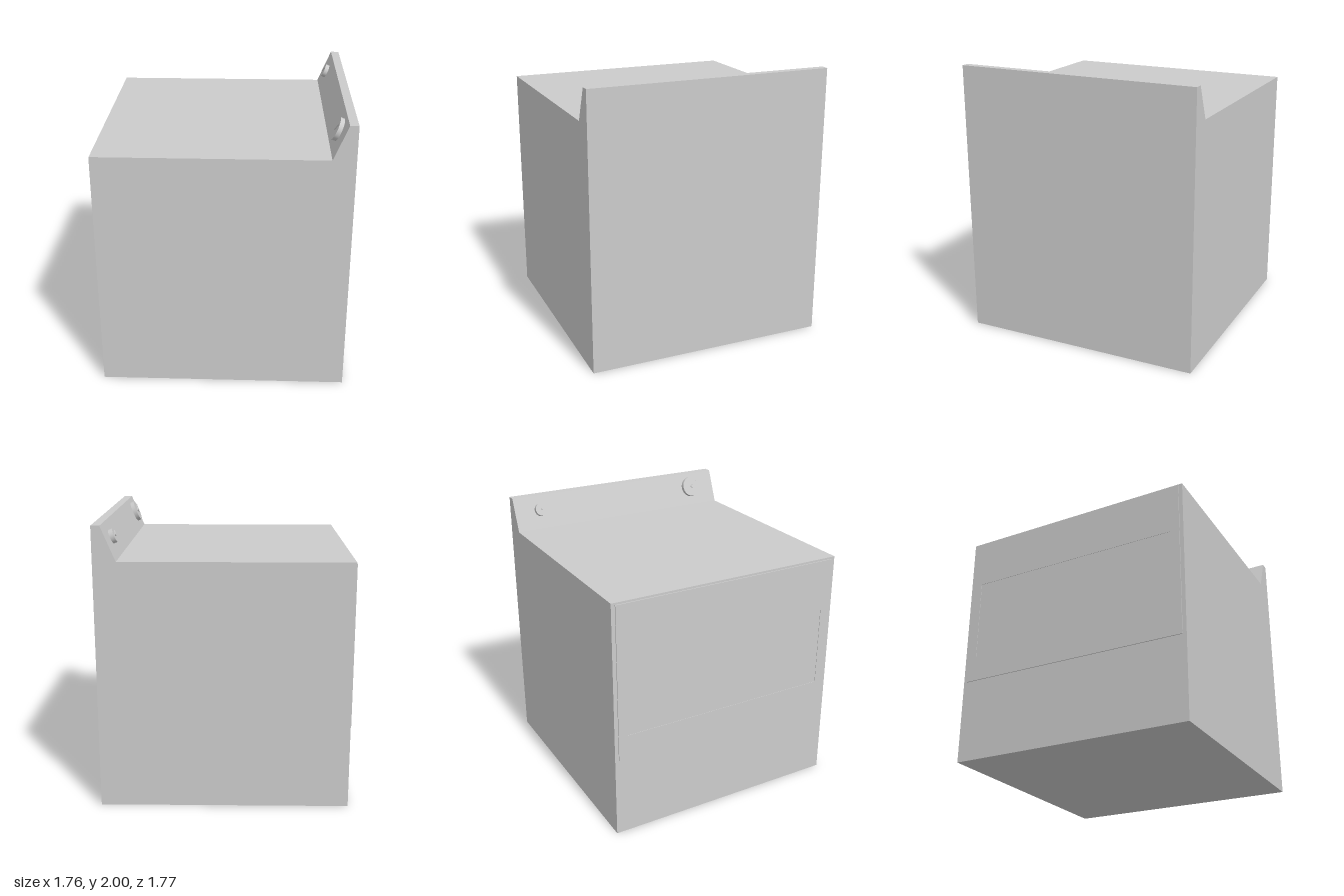
import * as THREE from 'three';

const material = new THREE.MeshStandardMaterial({ color: 0xcccccc });

function addMesh(parent, name, geometry) {
  const mesh = new THREE.Mesh(geometry, material);
  mesh.name = name;
  parent.add(mesh);
  return mesh;
}

function rectangle(path, x0, y0, x1, y1) {
  path.moveTo(x0, y0);
  path.lineTo(x1, y0);
  path.lineTo(x1, y1);
  path.lineTo(x0, y1);
  path.closePath();
  return path;
}

// Round dial with a raised tapering pointer; local y points away from the panel
function createKnob(name, radius, thickness) {
  const knob = new THREE.Group();
  knob.name = name;
  const dial = new THREE.CylinderGeometry(radius, radius, thickness, 32);
  dial.translate(0, thickness / 2, 0);
  addMesh(knob, 'dial', dial);

  const wedge = new THREE.Shape([
    new THREE.Vector2(-0.1 * radius, -0.14 * radius),
    new THREE.Vector2(0.85 * radius, 0),
    new THREE.Vector2(-0.1 * radius, 0.14 * radius),
  ]);
  const pointer = new THREE.ExtrudeGeometry(wedge, { depth: 0.007, bevelEnabled: false });
  pointer.rotateX(-Math.PI / 2).rotateY(-0.84).translate(0, thickness, 0);
  addMesh(knob, 'pointer', pointer);
  return knob;
}

export function createModel() {
  const stove = new THREE.Group();
  stove.name = 'stove';

  // Body with sloping control panel, one profile drawn through the depth
  const profile = new THREE.Shape(
    [[-0.877, 0], [0.88, 0], [0.88, 2], [0.82, 2], [0.72, 1.76], [-0.877, 1.76]]
      .map(([x, y]) => new THREE.Vector2(x, y)));
  const body = new THREE.ExtrudeGeometry(profile, { depth: 1.766, bevelEnabled: false });
  body.translate(0, 0, -0.883);
  addMesh(stove, 'body', body);

  // Oven door frame with a barely recessed window
  const frame = rectangle(new THREE.Shape(), -0.855, 0.6, 0.855, 1.745);
  frame.holes.push(rectangle(new THREE.Path(), -0.79, 0.78, 0.79, 1.39));
  const door = new THREE.ExtrudeGeometry(frame, { depth: 0.007, bevelEnabled: false });
  door.rotateY(-Math.PI / 2).translate(-0.877, 0, 0);
  addMesh(stove, 'ovenDoor', door);
  const pane = addMesh(stove, 'ovenWindow', new THREE.BoxGeometry(0.004, 0.61, 1.58));
  pane.position.set(-0.879, 1.085, 0);

  // Control knobs seated on the sloping panel
  const slope = Math.atan2(0.24, 0.1);
  for (const [name, radius, z] of [['largeKnob', 0.08, 0.67], ['smallKnob', 0.05, -0.675]]) {
    const knob = createKnob(name, radius, 0.031);
    knob.position.set(0.777, 1.895, z);
    knob.rotation.z = slope;
    stove.add(knob);
  }

  return stove;
}
